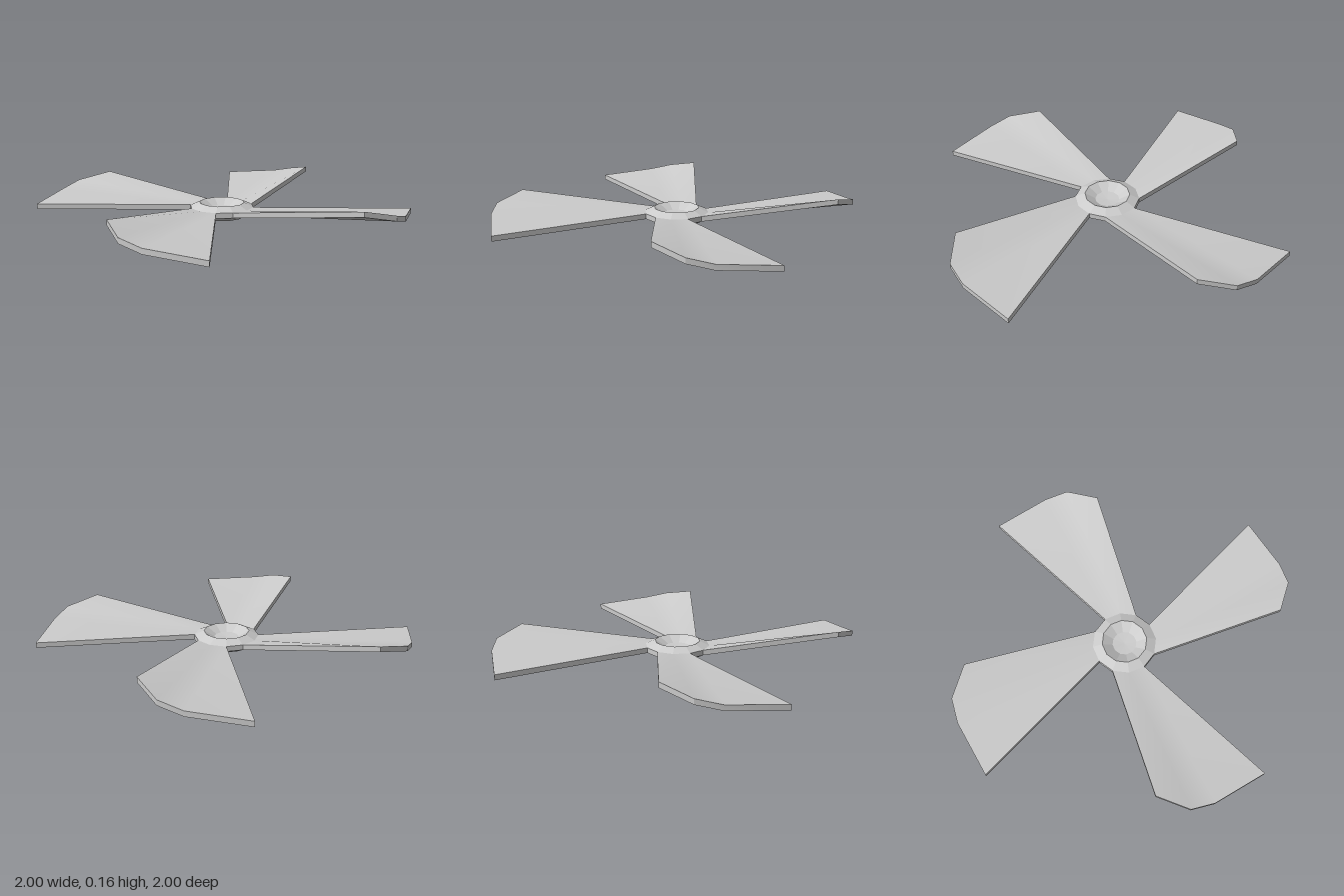
import * as THREE from 'three';
import { toCreasedNormals } from 'three/addons/utils/BufferGeometryUtils.js';

const HUB_RADIUS = 0.185;
const THICKNESS = 0.03;

// Twisted blade: root follows three hub corners, tip is a four-point edge
function bladeGeometry() {
  const root = [30, 60, 90].map((deg) => {
    const a = THREE.MathUtils.degToRad(deg);
    return [HUB_RADIUS * Math.cos(a), 0.03, HUB_RADIUS * Math.sin(a)];
  });
  const tip = [[1, 0.03, 0.42], [0.8, 0.06, 0.68], [0.69, 0.09, 0.765], [0.49, 0.13, 0.775]];
  const lower = [...root, ...tip];
  const upper = lower.map(([x, y, z]) => [x, y + THICKNESS, z]);
  const n = lower.length;
  const index = [];

  // Top and underside
  for (const [a, b, c] of [[0, 3, 4], [0, 4, 1], [1, 4, 5], [1, 5, 6], [1, 6, 2]]) {
    index.push(a, b, c, n + a, n + c, n + b);
  }
  // Rim, walking the outline from root to tip and back
  const outline = [0, 3, 4, 5, 6, 2, 1];
  outline.forEach((a, i) => {
    const b = outline[(i + 1) % n];
    index.push(a, n + a, n + b, a, n + b, b);
  });

  const geometry = new THREE.BufferGeometry();
  geometry.setAttribute('position', new THREE.Float32BufferAttribute([...lower, ...upper].flat(), 3));
  geometry.setIndex(index);
  return toCreasedNormals(geometry, 0.6);
}

export function createModel() {
  const model = new THREE.Group();
  model.name = 'propeller';
  const smooth = new THREE.MeshStandardMaterial({ color: 0xcccccc });
  const faceted = new THREE.MeshStandardMaterial({ color: 0xcccccc, flatShading: true });

  // Bevelled hub with a dished top
  const profile = [
    [0, 0], [0.125, 0], [HUB_RADIUS, 0.03], [HUB_RADIUS, 0.06],
    [0.13, 0.085], [0.07, 0.05], [0, 0.045],
  ].map(([r, y]) => new THREE.Vector2(r, y));
  const hub = new THREE.Mesh(new THREE.LatheGeometry(profile, 12), faceted);
  hub.name = 'hub';
  model.add(hub);

  // Four blades around the hub
  const geometry = bladeGeometry();
  for (let i = 0; i < 4; i++) {
    const blade = new THREE.Mesh(geometry, smooth);
    blade.name = `blade${i + 1}`;
    blade.rotation.y = (i * Math.PI) / 2;
    model.add(blade);
  }
  return model;
}
